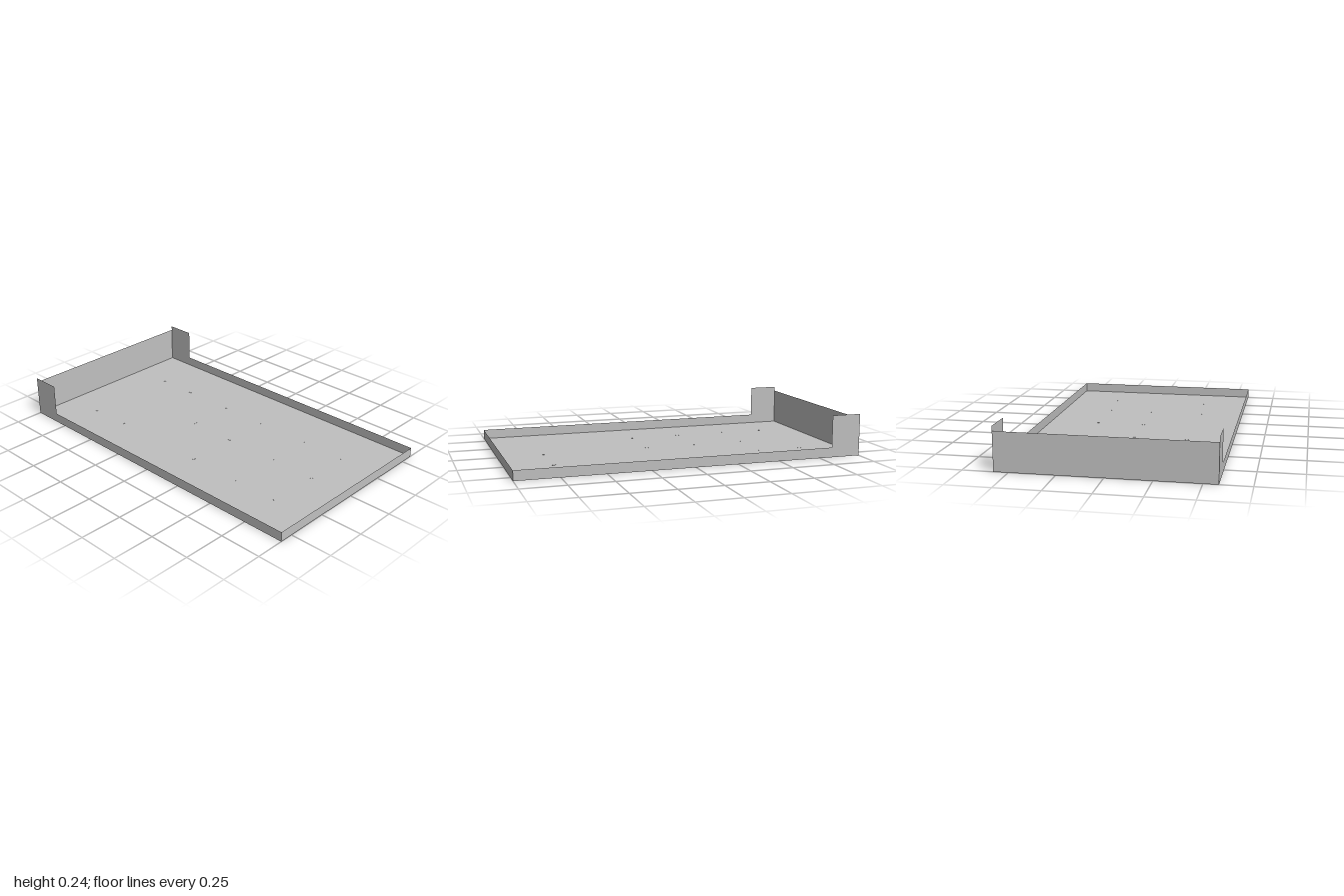
import * as THREE from 'three';

const W = 0.58, L = 1, RIM = 0.057, BACK = 0.216, EAR = 0.243, EAR_Z = -0.825;

export function createModel() {
  const tray = new THREE.Group();
  tray.name = 'tray';
  const sheet = new THREE.MeshStandardMaterial({ name: 'grey sheet metal', color: 0xc0c0c0, side: THREE.DoubleSide });

  const add = (name, geometry, x, y, z) => {
    const mesh = new THREE.Mesh(geometry, sheet);
    mesh.name = name;
    mesh.position.set(x, y, z);
    tray.add(mesh);
    return mesh;
  };

  // Thin floor panel
  add('floor', new THREE.PlaneGeometry(2 * W, 2 * L).rotateX(-Math.PI / 2), 0, 0.002, 0);

  // Low front lip and taller back wall
  add('frontLip', new THREE.PlaneGeometry(2 * W, RIM), 0, RIM / 2, L);
  add('backWall', new THREE.PlaneGeometry(2 * W, BACK), 0, BACK / 2, -L);

  // Side sheets: low rim stepping up to a tall ear at the back (shape x runs along z)
  const profile = new THREE.Shape([
    [-L, 0], [L, 0], [L, RIM], [EAR_Z, RIM], [EAR_Z, EAR], [-L, EAR],
  ].map(([z, y]) => new THREE.Vector2(z, y)));
  const side = new THREE.ShapeGeometry(profile).rotateY(-Math.PI / 2);
  add('leftSide', side, W, 0, 0);
  add('rightSide', side, -W, 0, 0);

  // Grid of tiny flush rivets in the floor
  const rivet = new THREE.CylinderGeometry(0.013, 0.013, 0.001, 8);
  for (const z of [-0.765, -0.515, -0.195, 0.105, 0.44, 0.73])
    for (const x of [-0.31, 0, 0.285]) add('rivet', rivet, x, 0.002, z);

  return tray;
}
